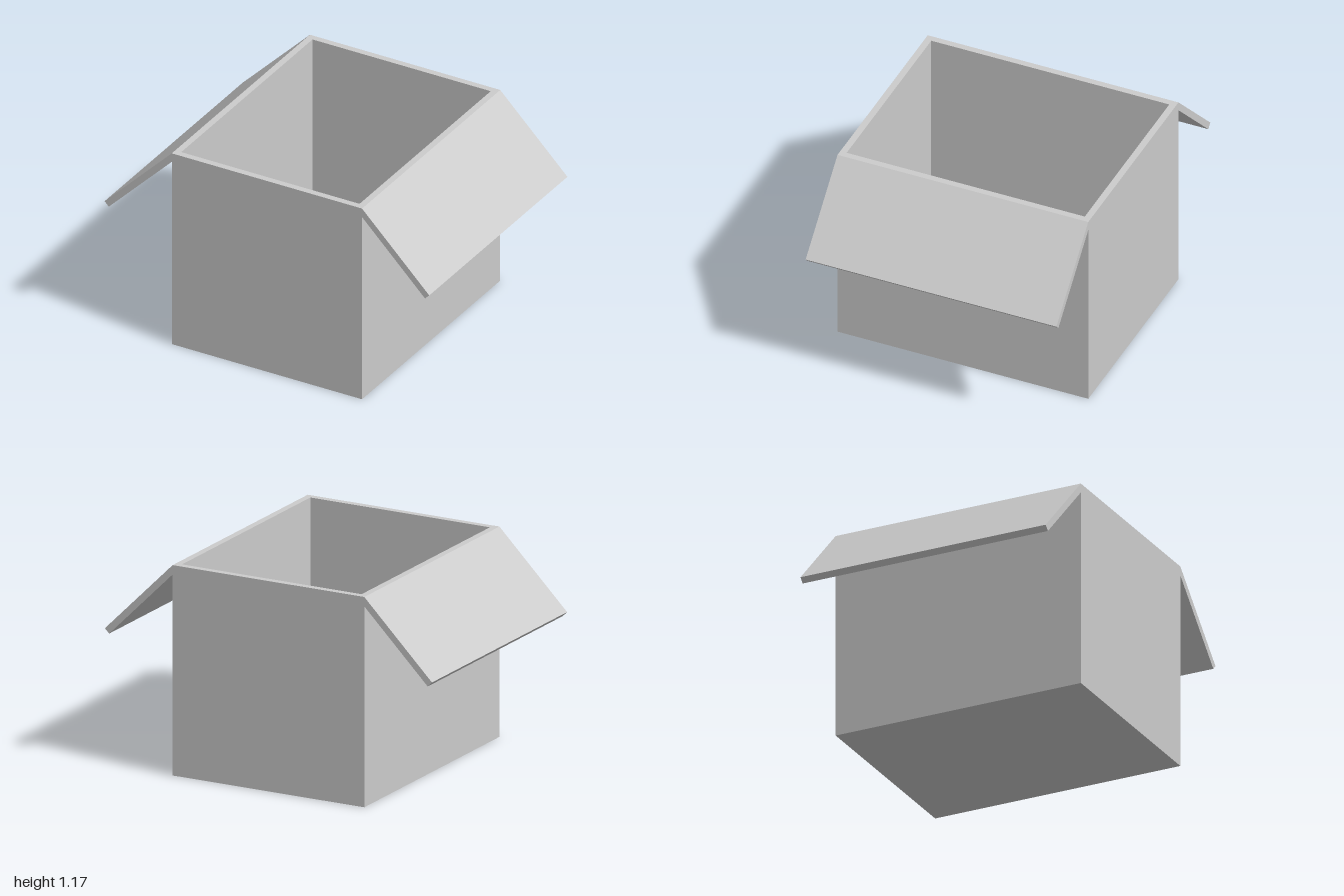
import * as THREE from 'three';

const W = 0.586, D = 0.732, H = 1.172; // half width, half depth, height
const T = 0.037;                       // board thickness
const REACH = 1 - W;                   // sideways reach of a 45 degree flap

const material = new THREE.MeshStandardMaterial({ color: 0xcccccc, flatShading: true });

function addPart(group, name, geometry) {
  const mesh = new THREE.Mesh(geometry, material);
  mesh.name = name;
  group.add(mesh);
  return mesh;
}

function rectangle(PathType, x, y) {
  return new PathType([[-x, -y], [x, -y], [x, y], [-x, y]].map(p => new THREE.Vector2(...p)));
}

export function createModel() {
  const box = new THREE.Group();
  box.name = 'openBox';

  // Floor panel
  addPart(box, 'floor', new THREE.BoxGeometry(2 * W, T, 2 * D).translate(0, T / 2, 0));

  // Four walls as one open frame standing on the floor
  const frame = rectangle(THREE.Shape, W, D);
  frame.holes.push(rectangle(THREE.Path, W - T, D - T));
  const walls = new THREE.ExtrudeGeometry(frame, { depth: H - T, bevelEnabled: false });
  addPart(box, 'walls', walls.rotateX(-Math.PI / 2).translate(0, T, 0));

  // Side flaps folded outward and down, cut flush against the walls
  const d = T * Math.SQRT1_2;
  const profile = new THREE.Shape([
    new THREE.Vector2(W, H),
    new THREE.Vector2(W, H - 2 * d),
    new THREE.Vector2(W + REACH - d, H - REACH - d),
    new THREE.Vector2(W + REACH, H - REACH),
  ]);
  const flap = new THREE.ExtrudeGeometry(profile, { depth: 2 * D, bevelEnabled: false }).translate(0, 0, -D);
  addPart(box, 'leftFlap', flap);
  addPart(box, 'rightFlap', flap).rotation.y = Math.PI;

  return box;
}
